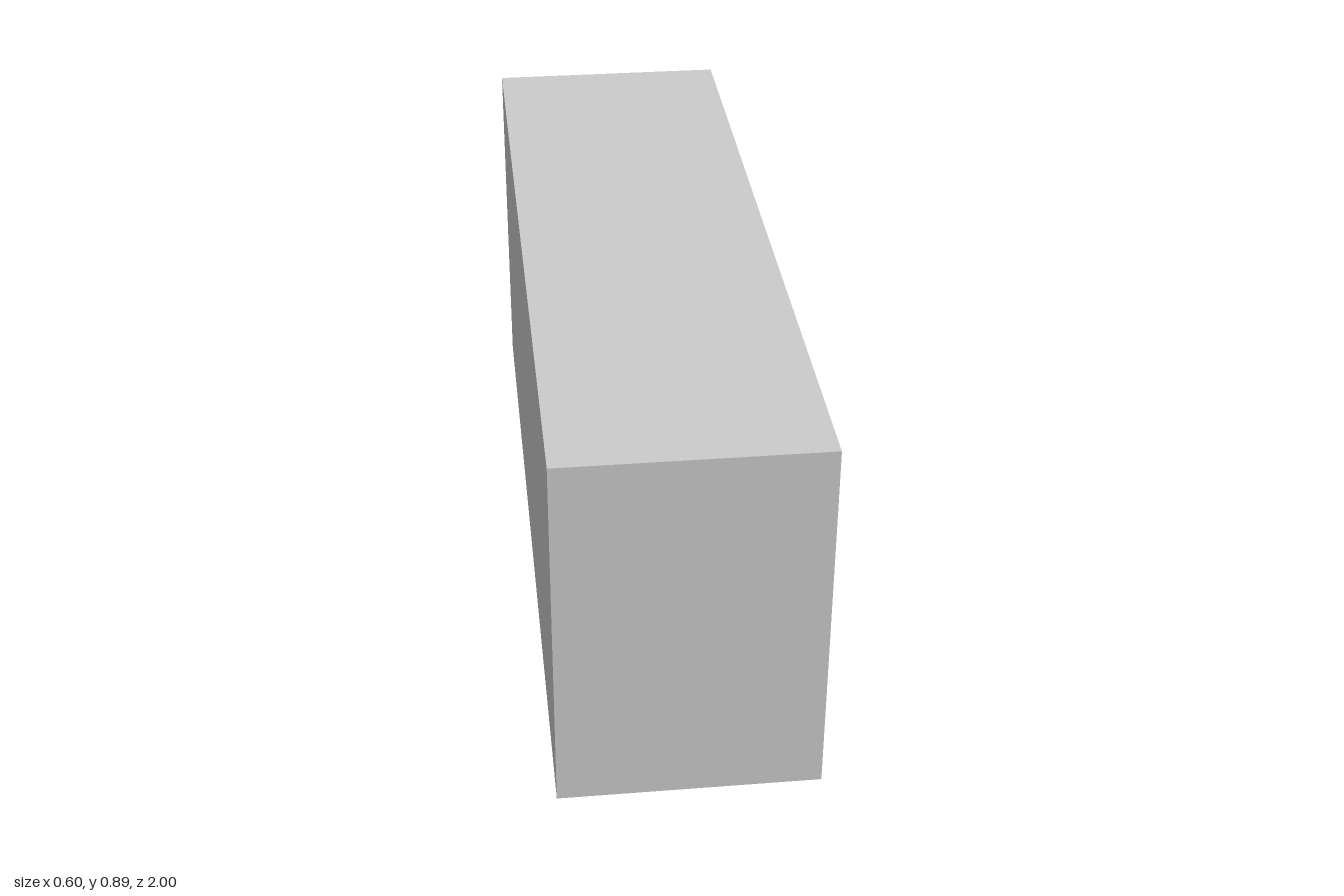
import * as THREE from 'three';

const WIDTH = 0.6, HEIGHT = 0.89, LENGTH = 2, CUBBY_DEPTH = 0.37;

// Openings: column ranges along z, row ranges along y
const COLUMNS = [[0.58, 0.96], [0.03, 0.49], [-0.49, -0.065], [-0.96, -0.58]];
const ROWS = [[0.04, 0.40], [0.49, 0.85]];

function rectangle(target, x0, y0, x1, y1) {
  target.moveTo(x0, y0);
  target.lineTo(x1, y0);
  target.lineTo(x1, y1);
  target.lineTo(x0, y1);
  target.closePath();
  return target;
}

export function createModel() {
  const group = new THREE.Group();
  group.name = 'cubbyShelf';
  const material = new THREE.MeshStandardMaterial({ color: 0xcccccc, flatShading: true });

  // Frame with eight openings, drawn side-on and turned to face +x
  const outline = rectangle(new THREE.Shape(), -LENGTH / 2, 0, LENGTH / 2, HEIGHT);
  for (const [z0, z1] of COLUMNS)
    for (const [y0, y1] of ROWS)
      outline.holes.push(rectangle(new THREE.Path(), -z1, y0, -z0, y1));
  const frameGeometry = new THREE.ExtrudeGeometry(outline, { depth: CUBBY_DEPTH, bevelEnabled: false });
  frameGeometry.rotateY(Math.PI / 2);
  const frame = new THREE.Mesh(frameGeometry, material);
  frame.name = 'cubbyFrame';
  frame.position.x = WIDTH / 2 - CUBBY_DEPTH;
  group.add(frame);

  // Solid back closing the cubbies
  const backDepth = WIDTH - CUBBY_DEPTH;
  const back = new THREE.Mesh(new THREE.BoxGeometry(backDepth, HEIGHT, LENGTH), material);
  back.name = 'backPanel';
  back.position.set(-WIDTH / 2 + backDepth / 2, HEIGHT / 2, 0);
  group.add(back);

  return group;
}
